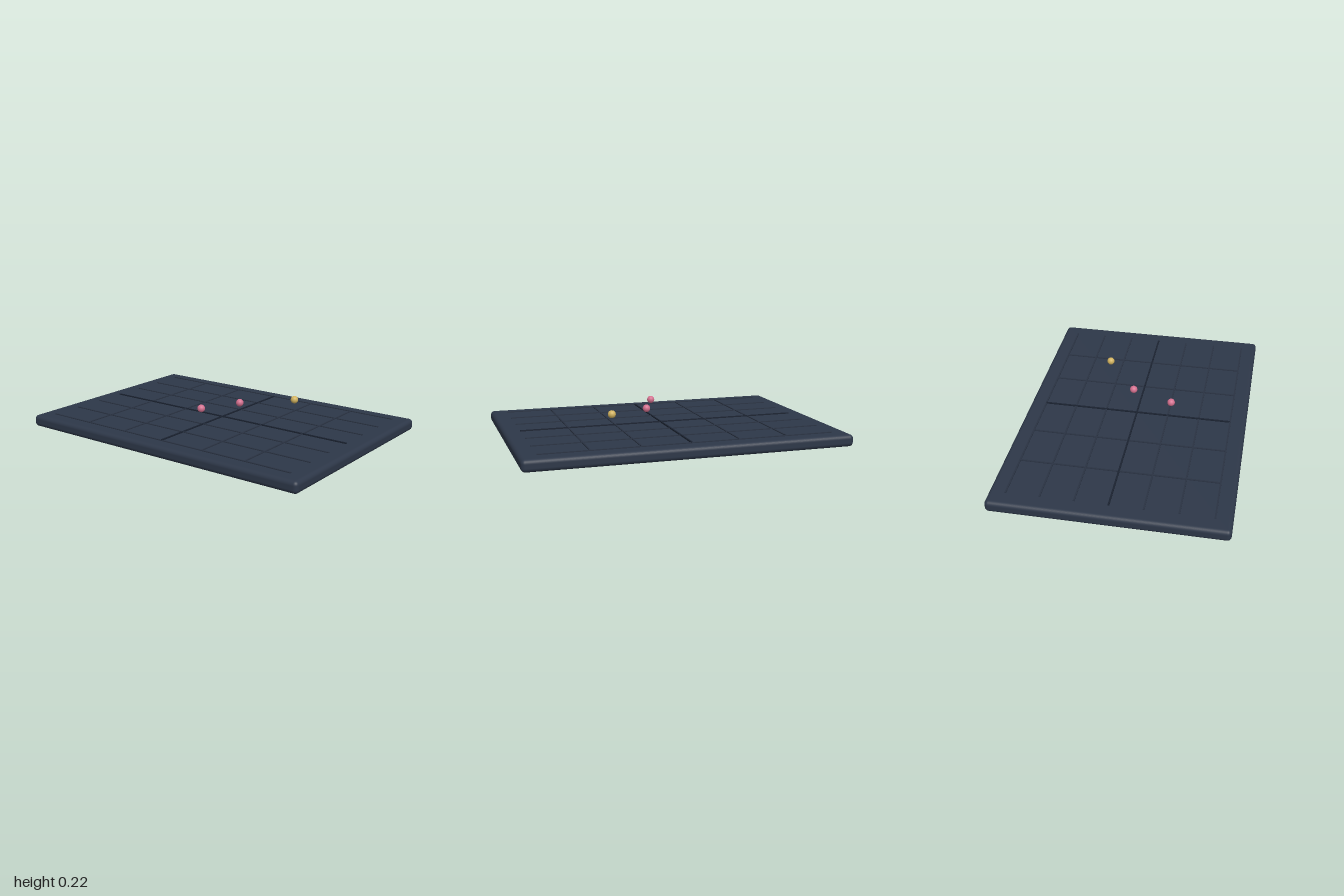
import * as THREE from 'three';
import { RoundedBoxGeometry } from 'three/addons/geometries/RoundedBoxGeometry.js';

const material = (name, color) => {
  const m = new THREE.MeshStandardMaterial({ color });
  m.name = name;
  return m;
};

export function createModel() {
  const slate = material('slate', 0x2d3748);
  const gridSlate = material('grid slate', 0x293242);
  const axisDark = material('axis dark', 0x1a2230);
  const pink = material('pink', 0xd4708f);
  const gold = material('gold', 0xd2b35f);

  const group = new THREE.Group();
  group.name = 'gridBoard';
  const add = (name, geometry, mat, x, y, z) => {
    const mesh = new THREE.Mesh(geometry, mat);
    mesh.name = name;
    mesh.position.set(x, y, z);
    group.add(mesh);
  };

  // Rounded slab
  const top = 0.073;
  add('board', new RoundedBoxGeometry(2, top, 1.4, 4, 0.025), slate, 0, top / 2, 0);

  // Thin raised grid lines, with the two centre axes slightly higher
  const line = (name, length, alongX, offset) => {
    const isAxis = offset === 0;
    const height = isAxis ? 0.008 : 0.006;
    const width = 0.01;
    const geometry = new THREE.BoxGeometry(alongX ? length : width, height, alongX ? width : length);
    add(isAxis ? name + 'Axis' : name + 'GridLine', geometry, isAxis ? axisDark : gridSlate,
      alongX ? 0 : offset, top + height / 2 - 0.001, alongX ? offset : 0);
  };
  for (let i = -3; i <= 3; i++) line('long', 1.8, true, i * 0.2);
  for (let i = -2; i <= 2; i++) line('cross', 1.2, false, i * 0.3);

  // Floating marker balls
  const ball = new THREE.SphereGeometry(0.024, 20, 14);
  add('frontMarker', ball, pink, 0, 0.181, 0.22);
  add('middleMarker', ball, pink, 0.107, 0.177, -0.04);
  add('backMarker', ball, gold, 0.385, 0.197, -0.247);

  return group;
}
